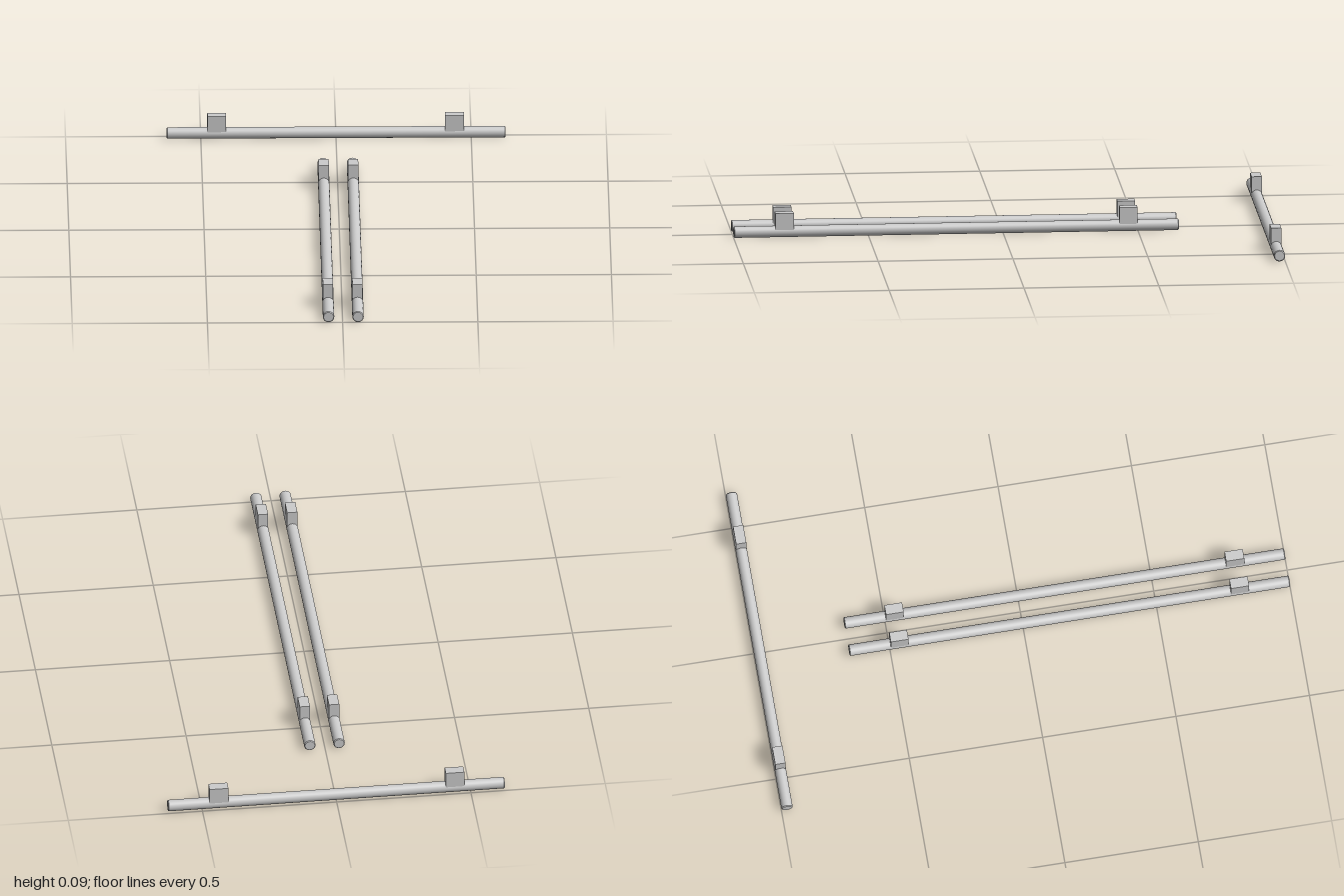
import * as THREE from 'three';

const material = new THREE.MeshStandardMaterial({ color: 0xcccccc });
const R = 0.0212, AXIS_Y = 0.0235, BLOCK_TOP = 0.095, BLOCK_WIDTH = 0.038;

// Round bar along local z from z0 to z1, with finely chamfered ends
function makeBar(z0, z1) {
  const c = 0.003;
  const ring = (r, y) => new THREE.Vector2(r, y);
  // End caps, chamfers and side are separate strips so their edges stay crisp
  const strips = [
    [ring(0, z0), ring(R - c, z0)],
    [ring(R - c, z0), ring(R, z0 + c)],
    [ring(R, z0 + c), ring(R, z1 - c)],
    [ring(R, z1 - c), ring(R - c, z1)],
    [ring(R - c, z1), ring(0, z1)],
  ];
  const bar = new THREE.Group();
  bar.name = 'bar';
  for (const strip of strips) {
    const mesh = new THREE.Mesh(new THREE.LatheGeometry(strip, 24).rotateX(Math.PI / 2), material);
    mesh.name = 'barSurface';
    bar.add(mesh);
  }
  return bar;
}

// Bar carrying upright mounting blocks, each given as its [start, end] along the bar
function makeRail(name, z0, z1, blocks) {
  const rail = new THREE.Group();
  rail.name = name;
  rail.add(makeBar(z0, z1));
  for (const [a, b] of blocks) {
    const height = BLOCK_TOP - AXIS_Y;
    const block = new THREE.Mesh(new THREE.BoxGeometry(BLOCK_WIDTH, height, b - a), material);
    block.name = 'mountingBlock';
    block.position.set(0, height / 2, (a + b) / 2);
    rail.add(block);
  }
  return rail;
}

export function createModel() {
  const model = new THREE.Group();
  model.name = 'railSet';

  // Pair of parallel rails running front to back
  for (const [name, x] of [['rightRail', -0.052], ['leftRail', 0.057]]) {
    const rail = makeRail(name, -0.651, 1, [[-0.497, -0.431], [0.778, 0.846]]);
    rail.position.set(x, AXIS_Y, 0);
    model.add(rail);
  }

  // Crosswise rail at the back
  const rear = makeRail('rearRail', -0.627, 0.627, [[-0.476, -0.407], [0.403, 0.473]]);
  rear.rotation.y = Math.PI / 2;
  rear.position.set(0, AXIS_Y, -1 + R);
  model.add(rear);

  return model;
}
